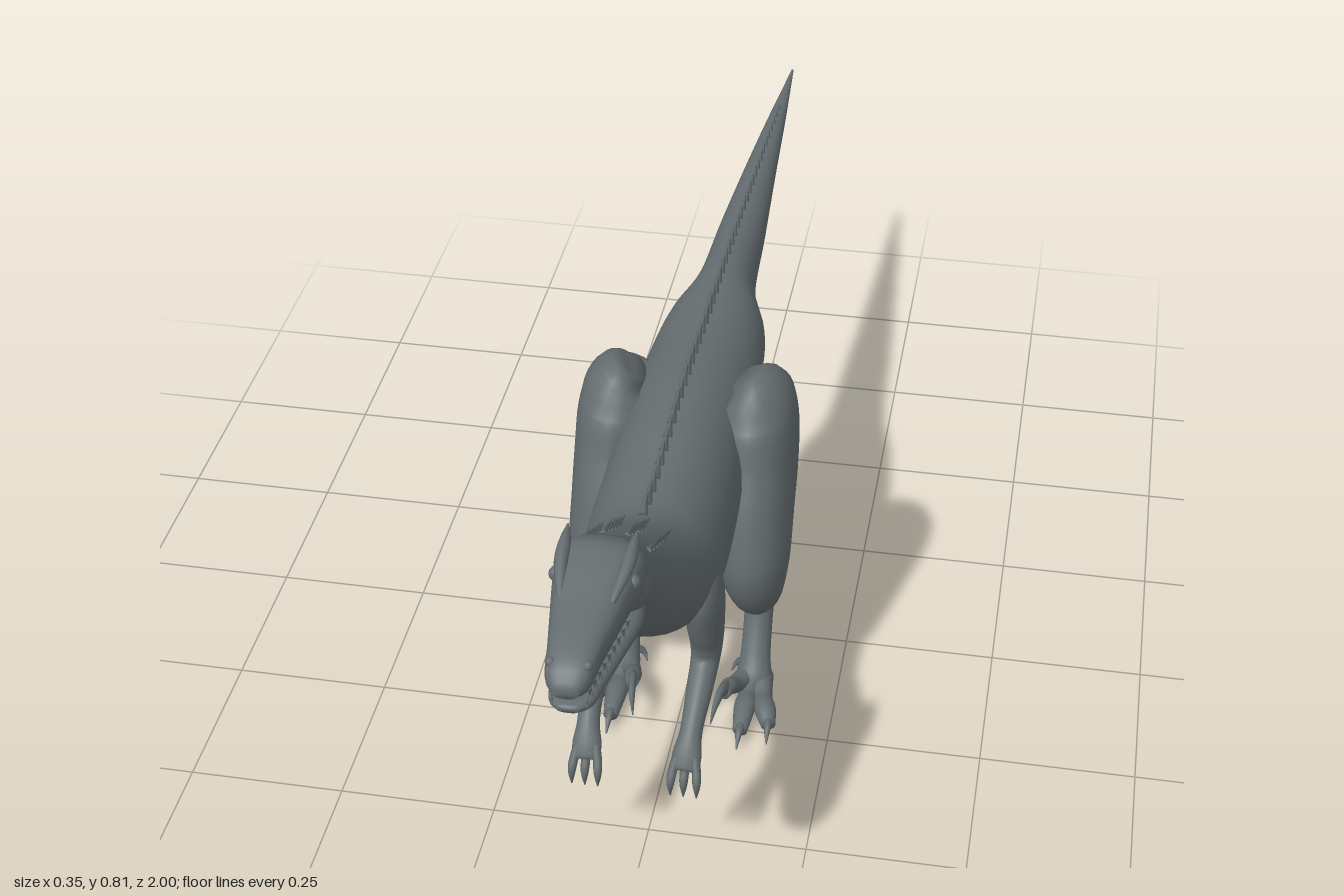
import * as THREE from 'three';

const skin = new THREE.MeshStandardMaterial({ color: 0x656d70 });
skin.name = 'slate skin';

// Smooth skin through elliptical sections [x, y, z, sideRadius, upRadius].
// axis fixes the section plane; otherwise sections follow the path.
function loft(rows, { axis = null, sides = 16, steps = 4, power = 1 } = {}) {
  const path = new THREE.CatmullRomCurve3(rows.map(r => new THREE.Vector3(r[0], r[1], r[2])), false, 'catmullrom');
  const size = new THREE.CatmullRomCurve3(rows.map(r => new THREE.Vector3(r[3], r[4], 0)), false, 'catmullrom');
  const n = (rows.length - 1) * steps, pos = [], idx = [];
  const shape = v => Math.sign(v) * Math.abs(v) ** power;
  for (let i = 0; i <= n; i++) {
    const c = path.getPoint(i / n), r = size.getPoint(i / n);
    const t = axis || path.getTangent(i / n);
    const side = new THREE.Vector3(1, 0, 0).addScaledVector(t, -t.x).normalize();
    const up = new THREE.Vector3().crossVectors(t, side);
    for (let j = 0; j < sides; j++) {
      const a = j / sides * Math.PI * 2;
      const p = c.clone()
        .addScaledVector(side, Math.max(r.x, 0.0008) * shape(Math.cos(a)))
        .addScaledVector(up, Math.max(r.y, 0.0008) * shape(Math.sin(a)));
      pos.push(p.x, p.y, p.z);
    }
  }
  for (let i = 0; i < n; i++) for (let j = 0; j < sides; j++) {
    const k = (j + 1) % sides, a = i * sides + j, b = i * sides + k;
    idx.push(a, b, b + sides, a, b + sides, a + sides);
  }
  // End caps
  for (const [ring, p] of [[0, path.getPoint(0)], [n, path.getPoint(1)]]) {
    const c = pos.length / 3;
    pos.push(p.x, p.y, p.z);
    for (let j = 0; j < sides; j++) {
      const a = ring * sides + j, b = ring * sides + (j + 1) % sides;
      if (ring) idx.push(c, a, b); else idx.push(c, b, a);
    }
  }
  const g = new THREE.BufferGeometry();
  g.setAttribute('position', new THREE.Float32BufferAttribute(pos, 3));
  g.setIndex(idx);
  g.computeVertexNormals();
  return g;
}

function add(parent, name, geometry) {
  const m = new THREE.Mesh(geometry, skin);
  m.name = name;
  parent.add(m);
  return m;
}

// Thin pointed cone from its base point along a direction
function spike(parent, name, base, dir, length, radius) {
  const g = new THREE.ConeGeometry(radius, length, 5).translate(0, length / 2, 0);
  const m = add(parent, name, g);
  m.position.set(...base);
  m.quaternion.setFromUnitVectors(new THREE.Vector3(0, 1, 0), new THREE.Vector3(...dir).normalize());
}

const Z = new THREE.Vector3(0, 0, 1);
// [z, top, bottom, half width] to a loft section
const slab = ([z, top, bottom, w]) => [0, (top + bottom) / 2, z, w, (top - bottom) / 2];

const BODY = [
  [-1, 0.558, 0.554, 0.002], [-0.8, 0.575, 0.548, 0.016], [-0.6, 0.592, 0.538, 0.028],
  [-0.4, 0.605, 0.518, 0.04], [-0.22, 0.617, 0.488, 0.05], [-0.12, 0.62, 0.45, 0.082],
  [0, 0.625, 0.438, 0.094], [0.12, 0.635, 0.41, 0.1], [0.25, 0.637, 0.375, 0.104],
  [0.4, 0.627, 0.366, 0.106], [0.5, 0.634, 0.41, 0.097], [0.6, 0.69, 0.493, 0.08],
  [0.68, 0.745, 0.575, 0.064], [0.73, 0.78, 0.645, 0.061], [0.775, 0.802, 0.67, 0.064], [0.8, 0.79, 0.69, 0.05],
];

// Point on the upper body surface at (x, z)
function backHeight(x, z) {
  const i = Math.max(1, BODY.findIndex(r => r[0] >= z));
  const a = BODY[i - 1], b = BODY[i], t = (z - a[0]) / (b[0] - a[0]);
  const [top, bottom, w] = [1, 2, 3].map(k => a[k] + (b[k] - a[k]) * t);
  return (top + bottom) / 2 + (top - bottom) / 2 * Math.sqrt(Math.max(0, 1 - (x / w) ** 2));
}

function makeHead() {
  const head = new THREE.Group();
  head.name = 'head';
  add(head, 'upperSkull', loft([
    [0.73, 0.78, 0.7, 0.05], [0.775, 0.806, 0.705, 0.062], [0.82, 0.803, 0.718, 0.056], [0.88, 0.79, 0.722, 0.046],
    [0.94, 0.781, 0.724, 0.036], [0.98, 0.768, 0.724, 0.03], [1, 0.748, 0.73, 0.016],
  ].map(slab), { axis: Z, power: 0.75, sides: 20 }));
  add(head, 'lowerJaw', loft([
    [0.74, 0.71, 0.665, 0.05], [0.79, 0.71, 0.667, 0.058], [0.85, 0.708, 0.673, 0.049], [0.92, 0.708, 0.682, 0.037],
    [0.97, 0.71, 0.69, 0.029], [0.99, 0.708, 0.698, 0.014],
  ].map(slab), { axis: Z, power: 0.75, sides: 20 }));
  for (const s of [-1, 1]) {
    // Brow crest, eye and nostril bump
    add(head, 'browCrest', loft([
      [s * 0.034, 0.782, 0.87, 0.004, 0.004], [s * 0.043, 0.798, 0.82, 0.009, 0.009],
      [s * 0.045, 0.806, 0.785, 0.008, 0.01], [s * 0.046, 0.815, 0.76, 0.001, 0.001]], { sides: 8 }));
    add(head, 'eye', new THREE.SphereGeometry(0.011, 12, 8)).position.set(s * 0.05, 0.775, 0.815);
    add(head, 'nostril', new THREE.SphereGeometry(0.007, 10, 6)).position.set(s * 0.024, 0.764, 0.972);
    for (let i = 0; i < 9; i++) {
      const z = 0.835 + i * 0.017, x = s * (0.046 - i * 0.0027);
      spike(head, 'upperTooth', [x, 0.728, z], [0, -1, -0.15], 0.02, 0.004);
      spike(head, 'lowerTooth', [x * 0.93, 0.703, z + 0.008], [0, 1, -0.15], 0.014, 0.003);
    }
  }
  return head;
}

function makeLeg(s) {
  const leg = new THREE.Group();
  leg.name = s > 0 ? 'leftLeg' : 'rightLeg';
  const part = (name, rows, opt) => add(leg, name, loft(rows.map(([x, ...r]) => [s * x, ...r]), opt));
  part('thighAndShin', [
    [0.085, 0.622, 0.12, 0.02, 0.04], [0.1, 0.605, 0.125, 0.055, 0.078], [0.108, 0.56, 0.13, 0.064, 0.1],
    [0.111, 0.49, 0.15, 0.065, 0.103], [0.113, 0.42, 0.185, 0.063, 0.098], [0.118, 0.35, 0.217, 0.058, 0.08],
    [0.122, 0.3, 0.215, 0.047, 0.056], [0.12, 0.255, 0.175, 0.037, 0.047], [0.113, 0.21, 0.125, 0.029, 0.037],
    [0.11, 0.165, 0.08, 0.026, 0.031], [0.11, 0.12, 0.092, 0.024, 0.027], [0.111, 0.065, 0.125, 0.025, 0.025],
    [0.112, 0.03, 0.15, 0.03, 0.026], [0.112, 0.012, 0.16, 0.02, 0.015]], { sides: 24 });
  // Two walking toes with claws
  for (const [x, spread, reach] of [[0.108, 0, 0.27], [0.132, 0.02, 0.25]]) {
    part('toe', [[x - spread * 0.4, 0.03, 0.14, 0.02, 0.024], [x, 0.021, 0.185, 0.017, 0.017],
      [x + spread * 0.5, 0.028, 0.22, 0.018, 0.017], [x + spread, 0.021, reach, 0.012, 0.012]]);
    part('toeClaw', [[x + spread * 0.9, 0.024, reach - 0.012, 0.01, 0.011], [x + spread, 0.027, reach + 0.012, 0.006, 0.008],
      [x + spread * 1.1, 0.012, reach + 0.035, 0.001, 0.001]], { sides: 8 });
  }
  // Raised inner toe with its sickle claw
  part('innerToe', [[0.1, 0.035, 0.15, 0.017, 0.02], [0.087, 0.045, 0.185, 0.015, 0.015],
    [0.08, 0.065, 0.215, 0.014, 0.014], [0.077, 0.072, 0.24, 0.01, 0.011]]);
  part('sickleClaw', [[0.078, 0.07, 0.225, 0.009, 0.013], [0.074, 0.085, 0.25, 0.007, 0.011],
    [0.069, 0.08, 0.28, 0.005, 0.008], [0.064, 0.056, 0.3, 0.001, 0.001]], { sides: 10 });
  part('dewClaw', [[0.095, 0.05, 0.13, 0.009, 0.009], [0.08, 0.04, 0.125, 0.005, 0.006],
    [0.072, 0.028, 0.135, 0.001, 0.001]], { sides: 8 });
  return leg;
}

function makeArm(s) {
  const arm = new THREE.Group();
  arm.name = s > 0 ? 'leftArm' : 'rightArm';
  const part = (name, rows, opt) => add(arm, name, loft(rows.map(([x, ...r]) => [s * x, ...r]), opt));
  part('armAndHand', [
    [0.07, 0.53, 0.46, 0.02, 0.03], [0.08, 0.48, 0.46, 0.029, 0.055], [0.083, 0.42, 0.455, 0.029, 0.046],
    [0.084, 0.37, 0.45, 0.025, 0.033], [0.083, 0.336, 0.46, 0.022, 0.026], [0.081, 0.31, 0.5, 0.02, 0.022],
    [0.078, 0.275, 0.55, 0.017, 0.017], [0.076, 0.25, 0.575, 0.022, 0.014], [0.075, 0.23, 0.59, 0.021, 0.01]]);
  // Three clawed fingers
  for (const dx of [-0.018, 0, 0.018]) {
    part('finger', [[0.075 + dx * 0.7, 0.25, 0.578, 0.007, 0.009], [0.075 + dx, 0.23, 0.592, 0.007, 0.008],
      [0.075 + dx * 1.1, 0.213, 0.602, 0.006, 0.007], [0.075 + dx * 1.1, 0.19, 0.604, 0.001, 0.001]], { sides: 8 });
  }
  return arm;
}

export function createModel() {
  const model = new THREE.Group();
  model.name = 'raptor';
  add(model, 'bodyAndTail', loft(BODY.map(slab), { axis: Z, sides: 32, steps: 5 }));
  model.add(makeHead());
  for (const s of [-1, 1]) model.add(makeLeg(s), makeArm(s));

  // Row of small scutes along the spine, shrinking down the tail
  const crest = new THREE.Group();
  crest.name = 'spineCrest';
  for (let z = 0.5; z > -0.82; z -= 0.032) {
    const k = z > 0 ? 1 : 1 + z * 0.6;
    spike(crest, 'scute', [0, backHeight(0, z) - 0.002, z], [0, 0.32, -1], 0.045 * k, 0.008 * k);
  }
  // Swept-back quills on the nape
  const quills = new THREE.Group();
  quills.name = 'napeQuills';
  for (const x of [-0.045, -0.016, 0.016, 0.045]) {
    for (let i = 0; i < 5; i++) {
      const z = 0.6 + i * 0.022;
      spike(quills, 'quill', [x, backHeight(x, z) - 0.002, z], [x * 1.5, -0.42, -1], 0.075, 0.005);
    }
  }
  model.add(crest, quills);
  return model;
}
